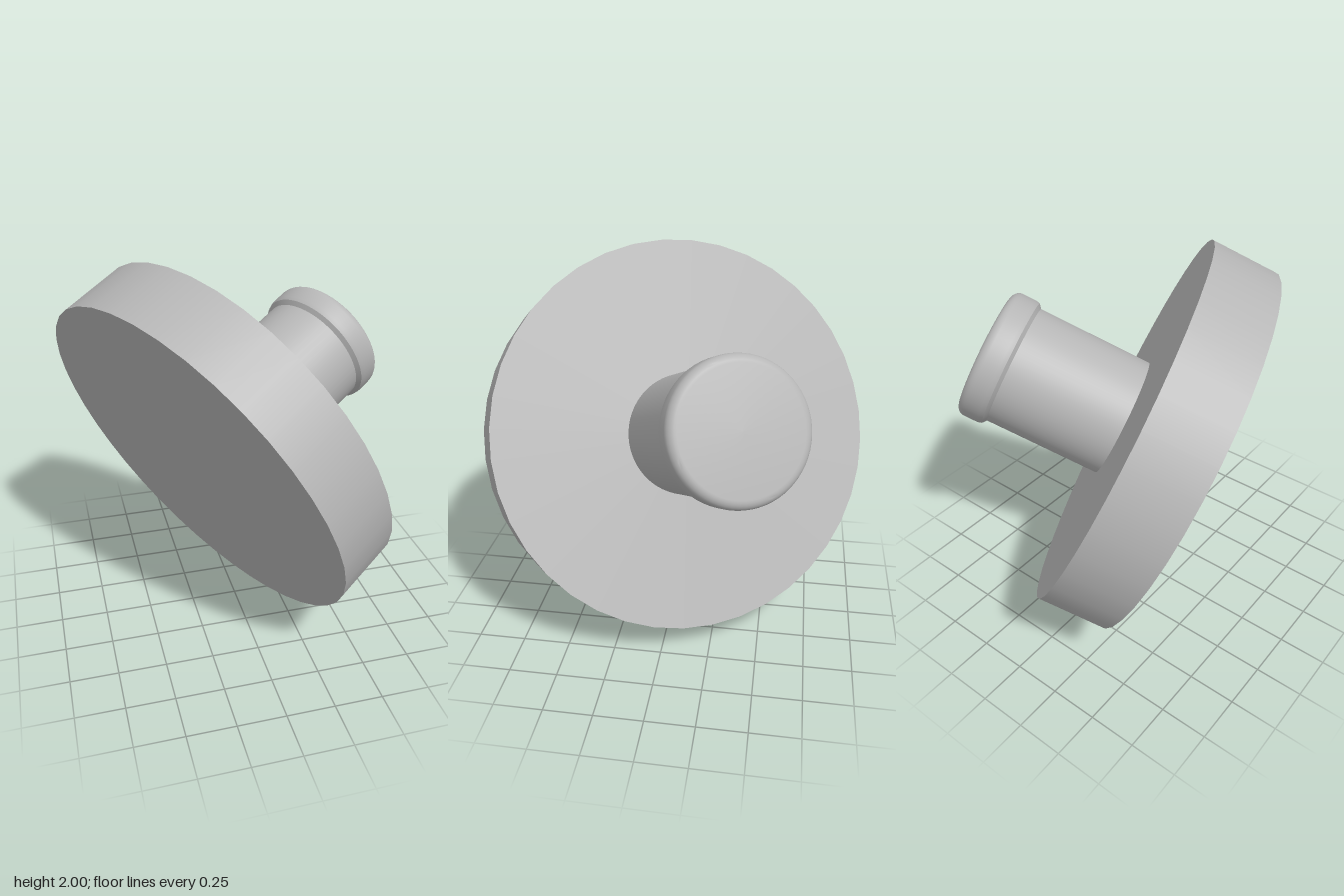
import * as THREE from 'three';
import { toCreasedNormals } from 'three/addons/utils/BufferGeometryUtils.js';

const DISC_R = 1.019, DISC_T = 0.356;   // broad disc
const STEM_R = 0.319, STEM_L = 0.62;    // round stem
const HEAD_R = 0.347, HEAD_TOP = 0.78;  // collar-like head, heights above the disc
const FILLET = 0.045;

export function createModel() {
  const grey = new THREE.MeshStandardMaterial({ color: 0xb6b6b6 });
  grey.name = 'plain grey';

  const group = new THREE.Group();
  group.name = 'stemmedDisc';

  // Everything is turned about one tilted axis; local y = 0 is the disc's stem side
  const knob = new THREE.Group();
  knob.name = 'tiltedKnob';
  const axis = new THREE.Vector3(0.806, 0.4185, -0.4185).normalize();
  knob.quaternion.setFromUnitVectors(new THREE.Vector3(0, 1, 0), axis);
  knob.position.set(0.036, 1.0745, -0.0745);
  group.add(knob);

  const add = (name, geometry, y = 0) => {
    const mesh = new THREE.Mesh(geometry, grey);
    mesh.name = name;
    mesh.position.y = y;
    knob.add(mesh);
  };

  // Disc and stem
  add('disc', new THREE.CylinderGeometry(DISC_R, DISC_R, DISC_T, 40), -DISC_T / 2);
  add('stem', new THREE.CylinderGeometry(STEM_R, STEM_R, STEM_L, 64, 1, true), STEM_L / 2);

  // Head: a short flared shoulder, a straight band and a rounded rim with a flat end
  const profile = [
    new THREE.Vector2(STEM_R, STEM_L),
    new THREE.Vector2(HEAD_R - 0.006, STEM_L + 0.018),
    new THREE.Vector2(HEAD_R, STEM_L + 0.04),
  ];
  for (let i = 0; i <= 6; i++) {
    const a = (i / 6) * Math.PI / 2;
    profile.push(new THREE.Vector2(
      HEAD_R - FILLET + FILLET * Math.cos(a),
      HEAD_TOP - FILLET + FILLET * Math.sin(a)));
  }
  profile.push(new THREE.Vector2(0, HEAD_TOP));
  add('head', toCreasedNormals(new THREE.LatheGeometry(profile, 64), 0.5));

  return group;
}
